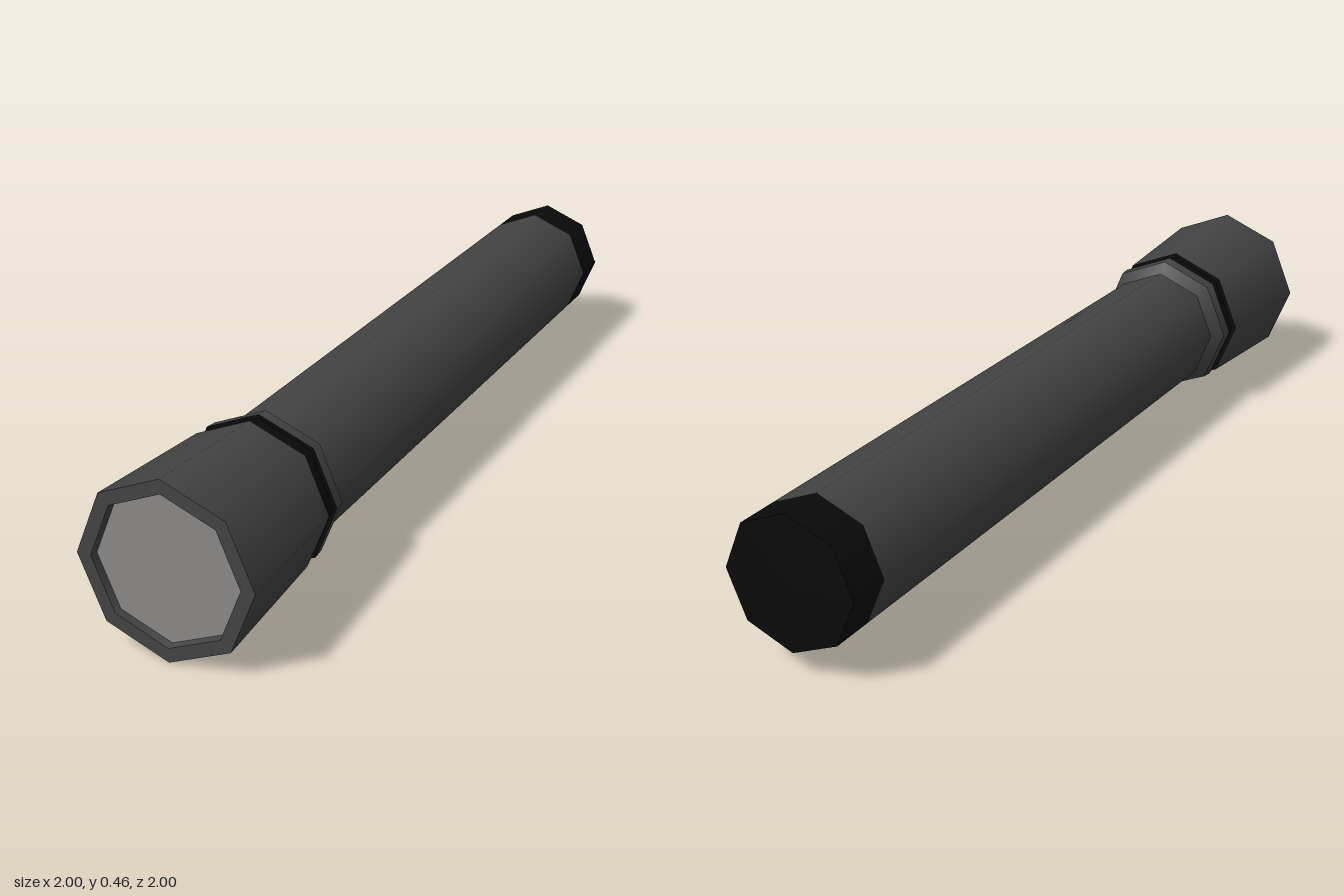
import * as THREE from 'three';
import { mergeGeometries } from 'three/addons/utils/BufferGeometryUtils.js';

const SIDES = 8;

// Octagonal shell: each profile step [radius, position] becomes a band that is
// smooth around the axis, with crisp edges between neighbouring bands.
function turned(name, profile, material) {
  const bands = [];
  for (let i = 0; i + 1 < profile.length; i++) {
    const pts = [profile[i], profile[i + 1]].map(([r, t]) => new THREE.Vector2(r, t));
    bands.push(new THREE.LatheGeometry(pts, SIDES));
  }
  const mesh = new THREE.Mesh(mergeGeometries(bands), material);
  mesh.name = name;
  return mesh;
}

function paint(name, color) {
  const m = new THREE.MeshStandardMaterial({ color });
  m.name = name;
  return m;
}

export function createModel() {
  const grey = paint('darkGreyMetal', 0x444444);
  const black = paint('blackRubber', 0x0a0a0a);
  const glass = paint('paleGlass', 0x8c8888);

  // Built upright along y with the lens at the top, then laid down
  const torch = new THREE.Group();
  torch.name = 'flashlight';

  torch.add(
    // Tail cap and handle
    turned('tailCap', [[0, -1.237], [0.174, -1.237], [0.174, -1.117]], black),
    turned('handle', [[0.174, -1.117], [0.174, 0.69]], grey),
    // Chamfered collar behind the groove
    turned('collar', [[0.174, 0.672], [0.204, 0.702], [0.207, 0.737]], grey),
    // Shallow groove with black lining
    turned('grooveBand', [[0.207, 0.737], [0.197, 0.737], [0.197, 0.782], [0.209, 0.782]], black),
    // Flared head, front rim and its inner wall
    turned('head', [[0.209, 0.782], [0.232, 1.181], [0.195, 1.181], [0.19, 1.163]], grey),
    turned('lens', [[0.19, 1.163], [0, 1.163]], glass)
  );

  // Lie along the diagonal, lens towards the front right
  torch.rotation.set(Math.PI / 2, -Math.PI / 4, 0, 'YXZ');
  torch.position.y = 0.232;

  const model = new THREE.Group();
  model.name = 'flashlightModel';
  model.add(torch);
  return model;
}
